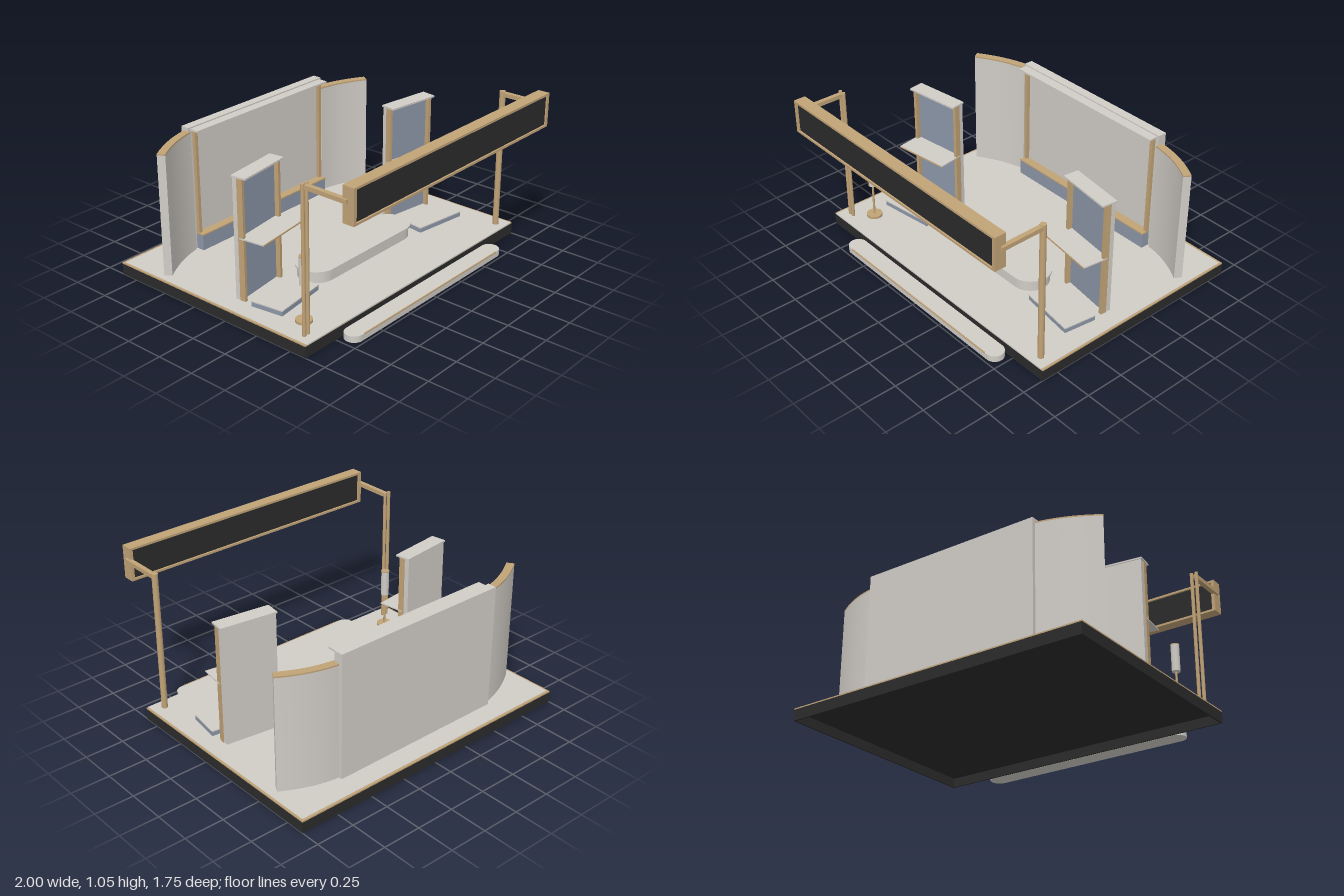
import * as THREE from 'three';
import { toCreasedNormals } from 'three/addons/utils/BufferGeometryUtils.js';

const mat = (name, color) => {
  const m = new THREE.MeshStandardMaterial({ color });
  m.name = name;
  return m;
};

export function createModel() {
  const light = mat('warm white', 0xd0ccc6);
  const gold = mat('brushed gold', 0xc0a276);
  const dark = mat('charcoal', 0x2b2b2c);
  const blue = mat('slate blue', 0x8d97a8);
  const model = new THREE.Group();
  model.name = 'exhibitionStand';
  const FLOOR = 0.08;

  const add = (parent, name, geo, material) => {
    const mesh = new THREE.Mesh(geo, material);
    mesh.name = name;
    parent.add(mesh);
    return mesh;
  };
  // Box given by its minimum and maximum along each axis
  const box = (parent, name, material, x0, x1, y0, y1, z0, z1) => {
    const geo = new THREE.BoxGeometry(x1 - x0, y1 - y0, z1 - z0);
    geo.translate((x0 + x1) / 2, (y0 + y1) / 2, (z0 + z1) / 2);
    return add(parent, name, geo, material);
  };
  const rod = (parent, name, material, r, x, z, y0, y1) => {
    const geo = new THREE.CylinderGeometry(r, r, y1 - y0, 32);
    geo.translate(x, (y0 + y1) / 2, z);
    return add(parent, name, geo, material);
  };
  // Upright prism from a plan outline drawn as (x, -z)
  const prism = (parent, name, material, shape, y0, y1) => {
    const geo = new THREE.ExtrudeGeometry(shape, { depth: y1 - y0, bevelEnabled: false, curveSegments: 24 });
    geo.rotateX(-Math.PI / 2).translate(0, y0, 0);
    return add(parent, name, toCreasedNormals(geo, 0.5), material);
  };
  const stadium = (halfLength, r, z) => {
    const s = new THREE.Shape();
    s.absarc(halfLength - r, -z, r, -Math.PI / 2, Math.PI / 2);
    s.absarc(r - halfLength, -z, r, Math.PI / 2, Math.PI * 1.5);
    s.closePath();
    return s;
  };

  // Platform: open skirt, gold trim and floor
  const platform = new THREE.Group();
  platform.name = 'platform';
  model.add(platform);
  box(platform, 'skirtBack', dark, -1, 1, 0, 0.07, -0.875, -0.865);
  box(platform, 'skirtFront', dark, -1, 1, 0, 0.07, 0.602, 0.612);
  for (const s of [-1, 1]) {
    box(platform, 'skirtSide', dark, s * 0.995 - 0.005, s * 0.995 + 0.005, 0, 0.07, -0.865, 0.602);
  }
  box(platform, 'deck', dark, -0.99, 0.99, 0.06, 0.07, -0.865, 0.602);
  box(platform, 'floorTrim', gold, -1, 1, 0.07, 0.078, -0.875, 0.611);
  box(platform, 'floor', light, -0.988, 0.988, 0.072, FLOOR, -0.86, 0.612);

  // Front step with a fine gold edge
  prism(model, 'frontStep', light, stadium(0.722, 0.058, 0.672), 0, 0.04);
  box(model, 'stepEdge', gold, -0.645, 0.645, 0.034, 0.041, 0.725, 0.732);

  // Central podium
  prism(model, 'podiumBase', light, stadium(0.466, 0.119, 0.12), FLOOR, 0.145);
  prism(model, 'podiumTop', light, stadium(0.478, 0.13, 0.12), 0.145, 0.158);

  // Back wall with cornice, posts and low plinth
  const wall = new THREE.Group();
  wall.name = 'backWall';
  model.add(wall);
  box(wall, 'wallPanel', light, -0.598, 0.593, FLOOR, 0.883, -0.727, -0.668);
  box(wall, 'cornice', light, -0.583, 0.58, 0.863, 0.875, -0.668, -0.605);
  box(wall, 'wallPlinth', blue, -0.572, 0.57, FLOOR, 0.178, -0.668, -0.612);
  box(wall, 'plinthTrim', gold, -0.572, 0.57, 0.178, 0.187, -0.668, -0.61);
  for (const s of [-1, 1]) {
    box(wall, 'wallPost', gold, s * 0.557 - 0.011, s * 0.557 + 0.011, 0.187, 0.863, -0.668, -0.644);
  }

  // Curved wings, the left and right ones of different height and length
  const wing = (name, start, control, end, top) => {
    const curve = new THREE.QuadraticBezierCurve(...[start, control, end].map(([x, z]) => new THREE.Vector2(x, -z)));
    const sides = [[], []];
    for (let i = 0; i <= 20; i++) {
      const p = curve.getPoint(i / 20), t = curve.getTangent(i / 20);
      sides.forEach((side, k) => {
        const d = k ? 0.025 : -0.025;
        side.push(new THREE.Vector2(p.x - t.y * d, p.y + t.x * d));
      });
    }
    const outline = new THREE.Shape([...sides[0], ...sides[1].reverse()]);
    prism(wall, name, light, outline, FLOOR, top - 0.009);
    prism(wall, name + 'Cap', gold, outline, top - 0.009, top);
  };
  wing('rightWing', [-0.595, -0.682], [-0.765, -0.65], [-0.936, -0.536], 0.86);
  wing('leftWing', [0.59, -0.68], [0.76, -0.662], [0.925, -0.558], 0.817);

  // Angled display bays, built in local space with the back edge at z = 0
  for (const s of [-1, 1]) {
    const bay = new THREE.Group();
    bay.name = s < 0 ? 'rightDisplay' : 'leftDisplay';
    bay.position.set(s * 0.697, 0, -0.061);
    bay.rotation.y = -s * 0.134;
    model.add(bay);
    box(bay, 'displayPanel', light, -0.177, 0.177, FLOOR, 0.843, 0.004, 0.038);
    box(bay, 'displayFace', blue, -0.163, 0.163, FLOOR, 0.83, 0.038, 0.045);
    box(bay, 'displayHeader', gold, -0.163, 0.163, 0.83, 0.843, 0.038, 0.05);
    box(bay, 'displayCap', light, -0.184, 0.184, 0.843, 0.854, 0, 0.1);
    for (const e of [-1, 1]) {
      box(bay, 'displayPost', gold, e * 0.172 - 0.01, e * 0.172 + 0.01, FLOOR, 0.843, 0.036, 0.074);
    }
    box(bay, 'shelf', light, -0.184, 0.184, 0.472, 0.48, 0.045, 0.211);
    box(bay, 'shelfEdge', gold, -0.184, 0.184, 0.471, 0.479, 0.211, 0.215);
    const off = s * 0.02;
    box(bay, 'displayPlinth', blue, off - 0.183, off + 0.183, FLOOR, 0.108, 0.13, 0.344);
    box(bay, 'displayPlinthTop', light, off - 0.184, off + 0.184, 0.108, 0.115, 0.129, 0.345);
  }

  // Floor lamp
  const lamp = new THREE.Group();
  lamp.name = 'floorLamp';
  lamp.position.set(-0.811, 0, 0.433);
  model.add(lamp);
  rod(lamp, 'lampBase', gold, 0.05, 0, 0, FLOOR, 0.096);
  rod(lamp, 'lampStem', gold, 0.007, 0, 0, 0.096, 0.315);
  rod(lamp, 'lampShade', light, 0.026, 0, 0, 0.312, 0.482);
  rod(lamp, 'lampCap', gold, 0.027, 0, 0, 0.482, 0.488);

  // Overhead fascia with its posts and arms
  const fascia = new THREE.Group();
  fascia.name = 'overheadFascia';
  model.add(fascia);
  box(fascia, 'fasciaPanel', dark, -0.893, 0.89, 0.852, 1.038, 0.81, 0.865);
  box(fascia, 'fasciaTop', gold, -0.915, 0.91, 1.038, 1.052, 0.798, 0.875);
  box(fascia, 'fasciaBottom', gold, -0.915, 0.91, 0.838, 0.852, 0.798, 0.875);
  box(fascia, 'fasciaEnd', gold, -0.915, -0.893, 0.852, 1.038, 0.798, 0.875);
  box(fascia, 'fasciaEnd', gold, 0.89, 0.91, 0.852, 1.038, 0.798, 0.875);
  for (const x of [-0.913, 0.911]) {
    box(fascia, 'supportArm', gold, x - 0.015, x + 0.015, 0.955, 0.981, 0.545, 0.835);
  }
  rod(fascia, 'supportPost', gold, 0.019, 0.911, 0.545, FLOOR, 0.987);
  for (const x of [-0.929, -0.897]) rod(fascia, 'twinPost', gold, 0.011, x, 0.54, FLOOR, 0.987);

  return model;
}
